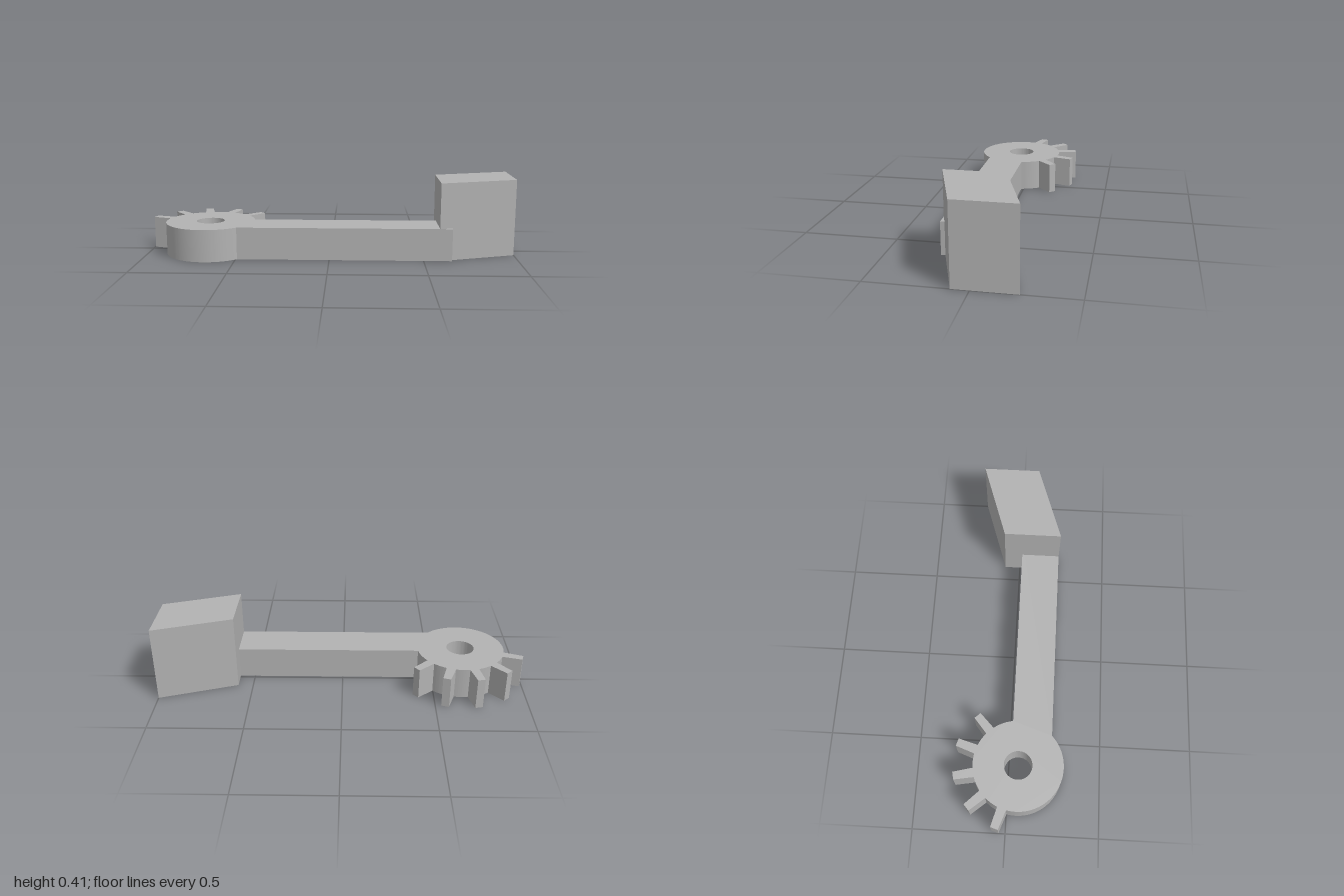
import * as THREE from 'three';
import { toCreasedNormals } from 'three/addons/utils/BufferGeometryUtils.js';

const rad = THREE.MathUtils.degToRad;

// Extrude a plan outline (x, -z) upward from the ground.
function extrudeUp(shape, height) {
  const geo = new THREE.ExtrudeGeometry(shape, { depth: height, bevelEnabled: false, curveSegments: 32 });
  geo.rotateX(-Math.PI / 2);
  return toCreasedNormals(geo, rad(25));
}

export function createModel() {
  const group = new THREE.Group();
  const grey = new THREE.MeshStandardMaterial({ color: 0xb2b2b2 });
  grey.name = 'plain grey';

  // Gear hub and straight arm share one outline
  const cx = -0.66, cy = -0.052, hubR = 0.242, tipR = 0.349;
  const armEnd = 0.65, armFront = -0.226, armBack = -0.013;
  const rootHalf = 0.025, tipHalf = 0.021;
  const rootAngle = Math.asin(rootHalf / hubR);

  const outline = new THREE.Shape();
  outline.moveTo(armEnd, armFront);
  outline.lineTo(armEnd, armBack);
  let angle = Math.asin((armBack - cy) / hubR);
  outline.lineTo(cx + hubR * Math.cos(angle), armBack);

  // Five tapered teeth, 30 degrees apart, on the back of the hub
  for (let i = 0; i < 5; i++) {
    const a = rad(42 + 30 * i);
    outline.absarc(cx, cy, hubR, angle, a - rootAngle, false);
    for (const side of [-1, 1]) {
      outline.lineTo(
        cx + tipR * Math.cos(a) - side * tipHalf * Math.sin(a),
        cy + tipR * Math.sin(a) + side * tipHalf * Math.cos(a)
      );
    }
    angle = a + rootAngle;
    outline.lineTo(cx + hubR * Math.cos(angle), cy + hubR * Math.sin(angle));
  }

  // Smooth round front of the hub, back to the arm
  outline.absarc(cx, cy, hubR, angle, 2 * Math.PI + Math.asin((armFront - cy) / hubR), false);
  outline.closePath();

  // Pivot hole
  const hole = new THREE.Path();
  hole.absarc(cx, cy, 0.076, 0, 2 * Math.PI, true);
  outline.holes.push(hole);

  const arm = new THREE.Mesh(extrudeUp(outline, 0.173), grey);
  arm.name = 'gearArm';
  group.add(arm);

  // Tall skewed block at the end of the arm
  const plan = new THREE.Shape([
    new THREE.Vector2(0.583, -0.226),
    new THREE.Vector2(1, -0.088),
    new THREE.Vector2(1, 0.223),
    new THREE.Vector2(0.583, 0.087),
  ]);
  const block = new THREE.Mesh(extrudeUp(plan, 0.415), grey);
  block.name = 'endBlock';
  group.add(block);

  return group;
}
